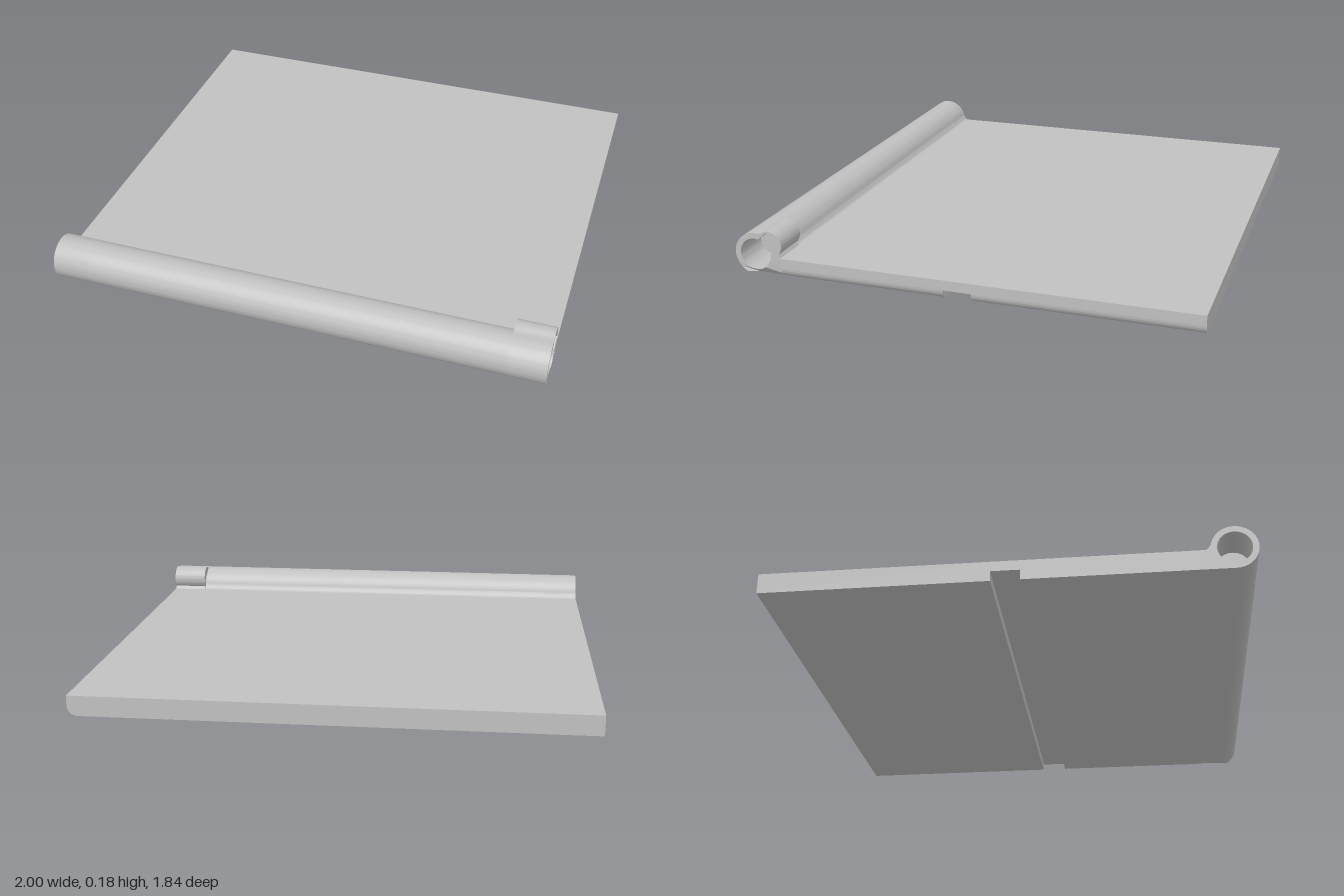
import * as THREE from 'three';
import { toCreasedNormals } from 'three/addons/utils/BufferGeometryUtils.js';

const PLATE_TOP = 0.08, PLATE_BACK = -0.92, JOIN_Z = 0.73;
const EDGE_R = 0.04;                                  // rounded lower edge on the +x side
const TUBE = { u: -0.835, v: 0.0865, r: 0.0865 };     // u = -z, v = y
const HUMP = { u: -0.775, v: 0.132, r: 0.053 };
const BORE_R = 0.064, END = 0.85;

export function createModel() {
  const group = new THREE.Group();
  const grey = new THREE.MeshStandardMaterial({ color: 0xc0c0c0 });
  grey.name = 'plain grey';

  const add = (name, geometry) => {
    const mesh = new THREE.Mesh(toCreasedNormals(geometry, 0.5), grey);
    mesh.name = name;
    group.add(mesh);
  };

  // Points along a circle, both ends included
  const arc = (c, r, from, to, n) => Array.from({ length: n + 1 }, (_, i) => {
    const a = from + (to - from) * i / n;
    return new THREE.Vector2(c.u + r * Math.cos(a), c.v + r * Math.sin(a));
  });

  // --- Plate: sections across x, extruded along z ---
  const plateSection = (name, z0, z1, bottom) => {
    const s = new THREE.Shape();
    s.moveTo(-1, bottom);
    if (bottom === 0) {
      s.lineTo(1 - EDGE_R, 0);
      s.absarc(1 - EDGE_R, EDGE_R, EDGE_R, -Math.PI / 2, 0, false);
    } else {
      s.lineTo(1, bottom);
    }
    s.lineTo(1, PLATE_TOP);
    s.lineTo(-1, PLATE_TOP);
    const g = new THREE.ExtrudeGeometry(s, { depth: z1 - z0, bevelEnabled: false, curveSegments: 10 });
    add(name, g.translate(0, 0, z0));
  };
  plateSection('plateBack', PLATE_BACK, -0.05, 0);
  plateSection('plateOverGroove', -0.05, 0.06, 0.04);
  plateSection('plateFront', 0.06, JOIN_Z, 0);

  // --- Tube: outline in (-z, y), extruded along x ---
  const outline = (withHump) => {
    const pts = [0, 0.01, 0.02, 0.03, 0.04, PLATE_TOP].map((y) => new THREE.Vector2(-JOIN_Z, y));
    if (withHump) {
      const du = HUMP.u - TUBE.u, dv = HUMP.v - TUBE.v, d = Math.hypot(du, dv), dir = Math.atan2(dv, du);
      const a = Math.acos((d * d + TUBE.r ** 2 - HUMP.r ** 2) / (2 * d * TUBE.r));
      const b = Math.acos((d * d + HUMP.r ** 2 - TUBE.r ** 2) / (2 * d * HUMP.r));
      pts.push(...arc(HUMP, HUMP.r, dir - b, dir + b, 24));
      pts.push(...arc(TUBE, TUBE.r, dir + a, Math.PI * 1.5, 36).slice(1));
    } else {
      // small concave blend between plate and tube
      pts.push(new THREE.Vector2(-0.738, 0.084), new THREE.Vector2(-0.744, 0.093));
      pts.push(...arc(TUBE, TUBE.r, 0.18, Math.PI * 1.5, 48));
    }
    return new THREE.Shape(pts);
  };

  const tubeSection = (name, shape, x0, x1) => {
    const g = new THREE.ExtrudeGeometry(shape, { depth: x1 - x0, bevelEnabled: false });
    g.rotateY(Math.PI / 2).translate(x0, 0, 0);
    // carry the rounded lower edge on under the tube
    const p = g.attributes.position;
    for (let i = 0; i < p.count; i++) {
      const y = Math.max(p.getY(i), 0);
      if (y < EDGE_R && p.getZ(i) < 0.87) {
        const limit = 1 - EDGE_R + Math.sqrt(EDGE_R ** 2 - (EDGE_R - y) ** 2);
        p.setX(i, Math.min(p.getX(i), limit));
      }
    }
    add(name, g);
  };

  // Solid middle
  tubeSection('tubeCore', outline(false), -END, END);

  // Plain end with a round blind bore
  const socket = outline(false);
  socket.holes.push(new THREE.Path(arc(TUBE, BORE_R, 0, Math.PI * 2, 40).slice(0, -1).reverse()));
  tubeSection('tubeSocketEnd', socket, -1, -END);

  // Humped end whose bore opens into a keyway
  const key = outline(true);
  const dir = 40 * Math.PI / 180, half = 0.038, reach = 0.1, open = Math.asin(half / BORE_R);
  const keyCorner = (side) => new THREE.Vector2(
    TUBE.u + reach * Math.cos(dir) - side * half * Math.sin(dir),
    TUBE.v + reach * Math.sin(dir) + side * half * Math.cos(dir));
  const bore = arc(TUBE, BORE_R, dir + open, dir - open + Math.PI * 2, 36);
  bore.push(keyCorner(-1), keyCorner(1));
  key.holes.push(new THREE.Path(bore.reverse()));
  tubeSection('tubeKeyedEnd', key, END, 1);

  return group;
}
